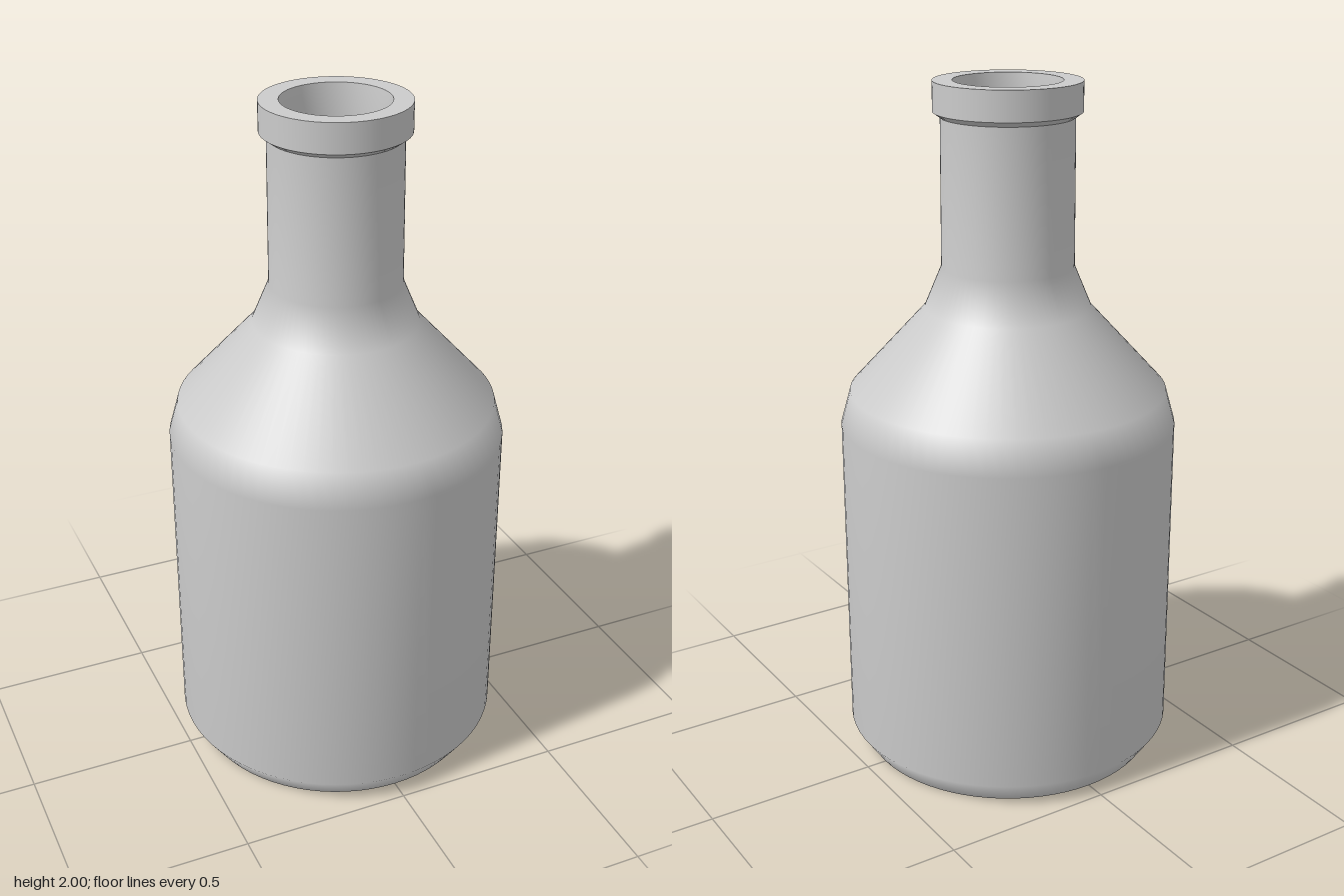
import * as THREE from 'three';

const SEGMENTS = 72;

export function createModel() {
  const bottle = new THREE.Group();
  bottle.name = 'bottle';
  const material = new THREE.MeshStandardMaterial({ color: 0xcccccc });

  // Revolve a profile; separate profiles keep a hard edge between them
  const revolve = (name, profile) => {
    const points = profile.map(([r, y]) => new THREE.Vector2(r, y));
    const mesh = new THREE.Mesh(new THREE.LatheGeometry(points, SEGMENTS), material);
    mesh.name = name;
    bottle.add(mesh);
  };

  // Outside: flat base, smooth body running up into the neck
  revolve('base', [[0, 0], [0.44, 0]]);
  revolve('body', [
    [0.44, 0], [0.488, 0.07], [0.488, 1.02], [0.46, 1.12],
    [0.24, 1.36], [0.19, 1.48], [0.188, 1.9],
  ]);

  // Collar around the mouth
  revolve('collarUnderside', [[0.188, 1.9], [0.209, 1.915]]);
  revolve('collar', [[0.209, 1.915], [0.209, 2]]);
  revolve('rim', [[0.209, 2], [0.153, 2]]);

  // Hollow inside, from the mouth down to the floor
  revolve('innerWall', [
    [0.153, 2], [0.143, 1.9], [0.143, 1.48], [0.2, 1.34],
    [0.415, 1.1], [0.443, 1.01], [0.443, 0.09], [0.42, 0.045],
  ]);
  revolve('innerFloor', [[0.42, 0.045], [0, 0.045]]);

  return bottle;
}
